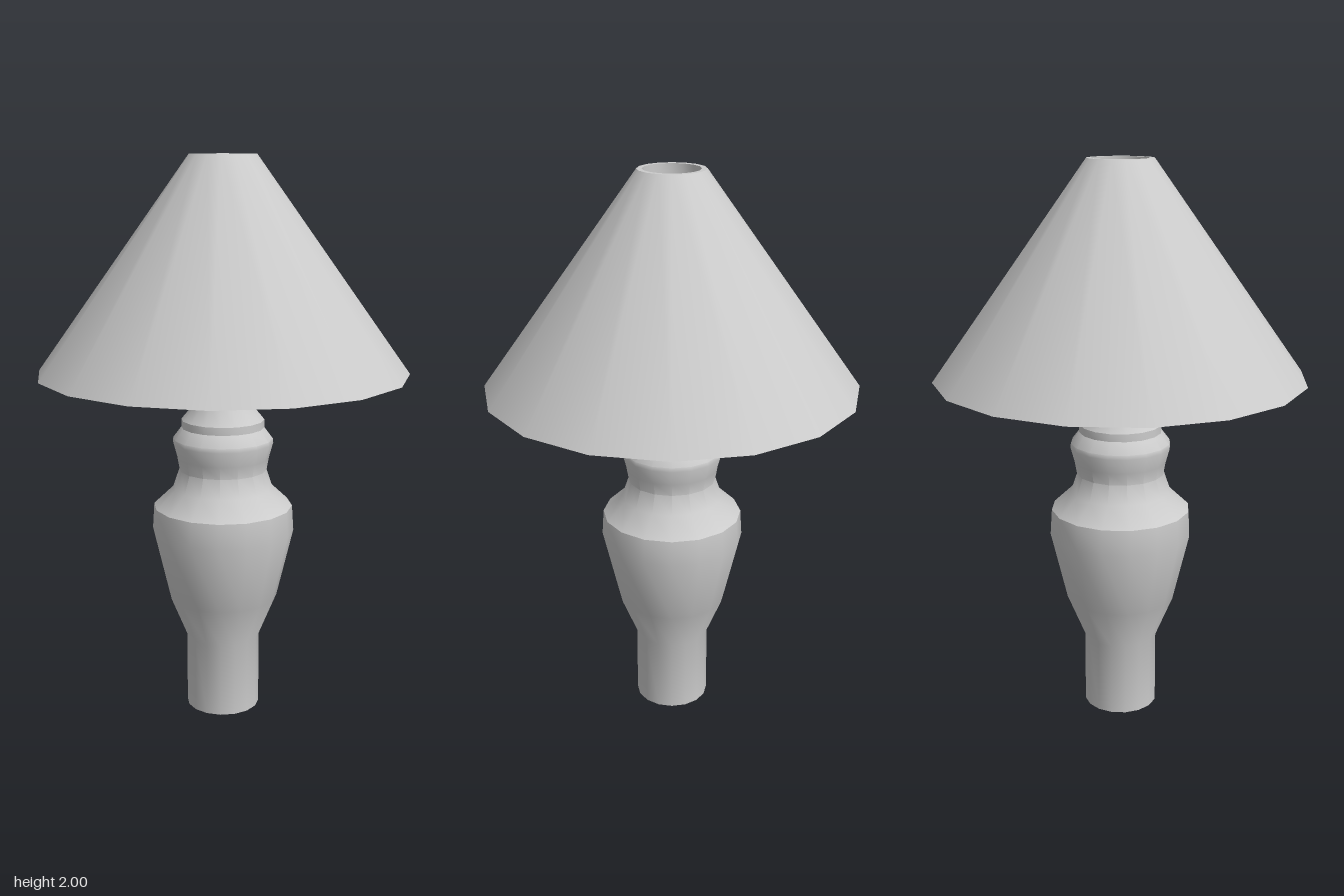
import * as THREE from 'three';
import { toCreasedNormals } from 'three/addons/utils/BufferGeometryUtils.js';

const SIDES = 16;
const CREASE = 0.6;

// Turns a [radius, height] profile around the y axis, keeping hard edges sharp.
function turned(name, profile, material) {
  const points = profile.map(([r, y]) => new THREE.Vector2(r, y));
  const geometry = toCreasedNormals(new THREE.LatheGeometry(points, SIDES), CREASE);
  const mesh = new THREE.Mesh(geometry, material);
  mesh.name = name;
  return mesh;
}

export function createModel() {
  const lamp = new THREE.Group();
  lamp.name = 'tableLamp';
  const grey = new THREE.MeshStandardMaterial({ color: 0xcccccc });

  // Turned base: foot, belly, shoulder, collar and stem running up into the shade
  lamp.add(turned('base', [
    [0, 0], [0.133, 0], [0.133, 0.27],
    [0.197, 0.425], [0.256, 0.675], [0.25, 0.767],
    [0.18, 0.833], [0.157, 0.9], [0.165, 0.945], [0.18, 1.0],
    [0.178, 1.015], [0.148, 1.055], [0.148, 1.083],
    [0.1, 1.14], [0.08, 1.195], [0.075, 1.25],
    [0.075, 1.37], [0.086, 1.44], [0.086, 1.6],
  ], grey));

  // Conical shade: inner ceiling, hollow underside, lip, outside, recessed top
  lamp.add(turned('shade', [
    [0, 1.59], [0.245, 1.59], [0.635, 1.252], [0.655, 1.252],
    [0.116, 2], [0.098, 2], [0.098, 1.945], [0, 1.945],
  ], grey));

  return lamp;
}
